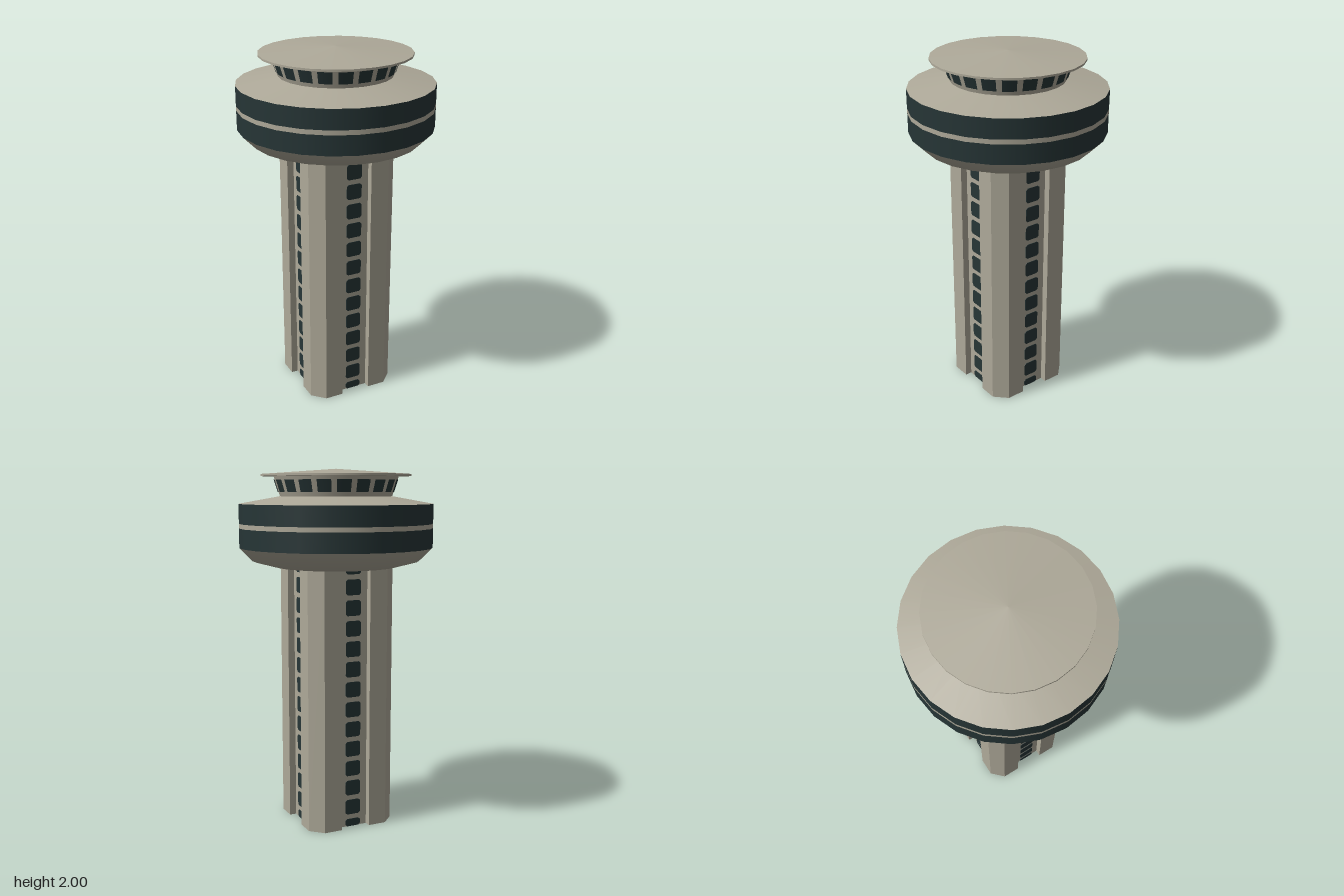
import * as THREE from 'three';

const SIDES = 24;
const concrete = new THREE.MeshStandardMaterial({ color: 0xaea999, side: THREE.DoubleSide });
concrete.name = 'concrete';
const glass = new THREE.MeshStandardMaterial({ color: 0x263536, side: THREE.DoubleSide });
glass.name = 'darkGlass';

function add(parent, name, geometry, material) {
  const mesh = new THREE.Mesh(geometry, material);
  mesh.name = name;
  parent.add(mesh);
  return mesh;
}

// Surface of revolution; points run from bottom to top
function ring(parent, name, points, material) {
  const profile = points.map(([r, y]) => new THREE.Vector2(r, y));
  return add(parent, name, new THREE.LatheGeometry(profile, SIDES), material);
}

// Vertical walls around an outline of [x, z] points, open at both ends
function wallGeometry(outline, y0, y1) {
  const pos = [];
  outline.forEach(([ax, az], i) => {
    const [bx, bz] = outline[(i + 1) % outline.length];
    pos.push(ax, y0, az, bx, y0, bz, bx, y1, bz);
    pos.push(ax, y0, az, bx, y1, bz, ax, y1, az);
  });
  const geo = new THREE.BufferGeometry();
  geo.setAttribute('position', new THREE.Float32BufferAttribute(pos, 3));
  geo.computeVertexNormals();
  return geo;
}

// Thin window pane with clipped corners
function paneGeometry(w, y0, y1, cut, thickness) {
  const x = w / 2;
  const shape = new THREE.Shape([
    [-x + cut, y0], [x - cut, y0], [x, y0 + cut], [x, y1 - cut],
    [x - cut, y1], [-x + cut, y1], [-x, y1 - cut], [-x, y0 + cut],
  ].map(([a, b]) => new THREE.Vector2(a, b)));
  const geo = new THREE.ExtrudeGeometry(shape, { depth: thickness, bevelEnabled: false });
  return geo.translate(0, 0, -thickness / 2);
}

function createShaft() {
  const shaft = new THREE.Group();
  shaft.name = 'shaft';
  const recess = 0.22;

  // One chamfered corner lobe, repeated around the four corners
  let corner = [[0.085, recess], [0.085, 0.258], [0.19, 0.258], [0.258, 0.19], [0.258, 0.085], [recess, 0.085]];
  const outline = [];
  for (let q = 0; q < 4; q++) {
    outline.push(...corner);
    corner = corner.map(([x, z]) => [z, -x]);
  }
  add(shaft, 'shaftWalls', wallGeometry(outline, 0, 1.47), concrete);

  // A column of windows in each recess
  const pitch = 0.1138;
  for (let q = 0; q < 4; q++) {
    const column = new THREE.Group();
    column.name = 'windowColumn';
    column.rotation.y = q * Math.PI / 2;
    for (let k = 0; k <= 13; k++) {
      const y0 = Math.max(0, k * pitch - 0.043);
      const y1 = Math.min(1.464, k * pitch + 0.043);
      const pane = add(column, 'shaftWindow', paneGeometry(0.09, y0, y1, 0.01, 0.006), glass);
      pane.position.z = recess;
    }
    shaft.add(column);
  }
  return shaft;
}

function createHead() {
  const head = new THREE.Group();
  head.name = 'head';
  ring(head, 'headFloor', [[0, 1.464], [0.342, 1.464]], concrete);
  ring(head, 'headUnderside', [[0.342, 1.464], [0.468, 1.497], [0.54, 1.57]], concrete);
  ring(head, 'lowerGlassBand', [[0.54, 1.57], [0.54, 1.677]], glass);
  ring(head, 'bandDivider', [[0.54, 1.677], [0.54, 1.702]], concrete);
  ring(head, 'upperGlassBand', [[0.54, 1.702], [0.54, 1.81]], glass);
  ring(head, 'headRoof', [[0.54, 1.81], [0.312, 1.851]], concrete);
  return head;
}

function createCabin() {
  const cabin = new THREE.Group();
  cabin.name = 'cabin';
  const r0 = 0.312, r1 = 0.348, y0 = 1.851, y1 = 1.963;
  ring(cabin, 'cabinWall', [[r0, y0], [r1, y1]], concrete);

  // Ring of flared windows just proud of the wall
  const count = 20, low = 1.874, high = 1.94;
  const radiusAt = (y) => r0 + (r1 - r0) * (y - y0) / (y1 - y0) + 0.003;
  const width = 0.225;
  for (let i = 0; i < count; i++) {
    const start = i * 2 * Math.PI / count - width / 2;
    const geo = new THREE.CylinderGeometry(radiusAt(high), radiusAt(low), high - low, 3, 1, true, start, width);
    add(cabin, 'cabinWindow', geo, glass).position.y = (low + high) / 2;
  }

  // Overhanging shallow cone roof
  ring(cabin, 'roofSoffit', [[0, 1.96], [0.416, 1.96]], concrete);
  ring(cabin, 'roofRim', [[0.416, 1.96], [0.416, 1.971]], concrete);
  ring(cabin, 'roofTop', [[0.416, 1.971], [0, 2]], concrete);
  return cabin;
}

export function createModel() {
  const tower = new THREE.Group();
  tower.name = 'tower';
  tower.add(createShaft(), createHead(), createCabin());
  return tower;
}
